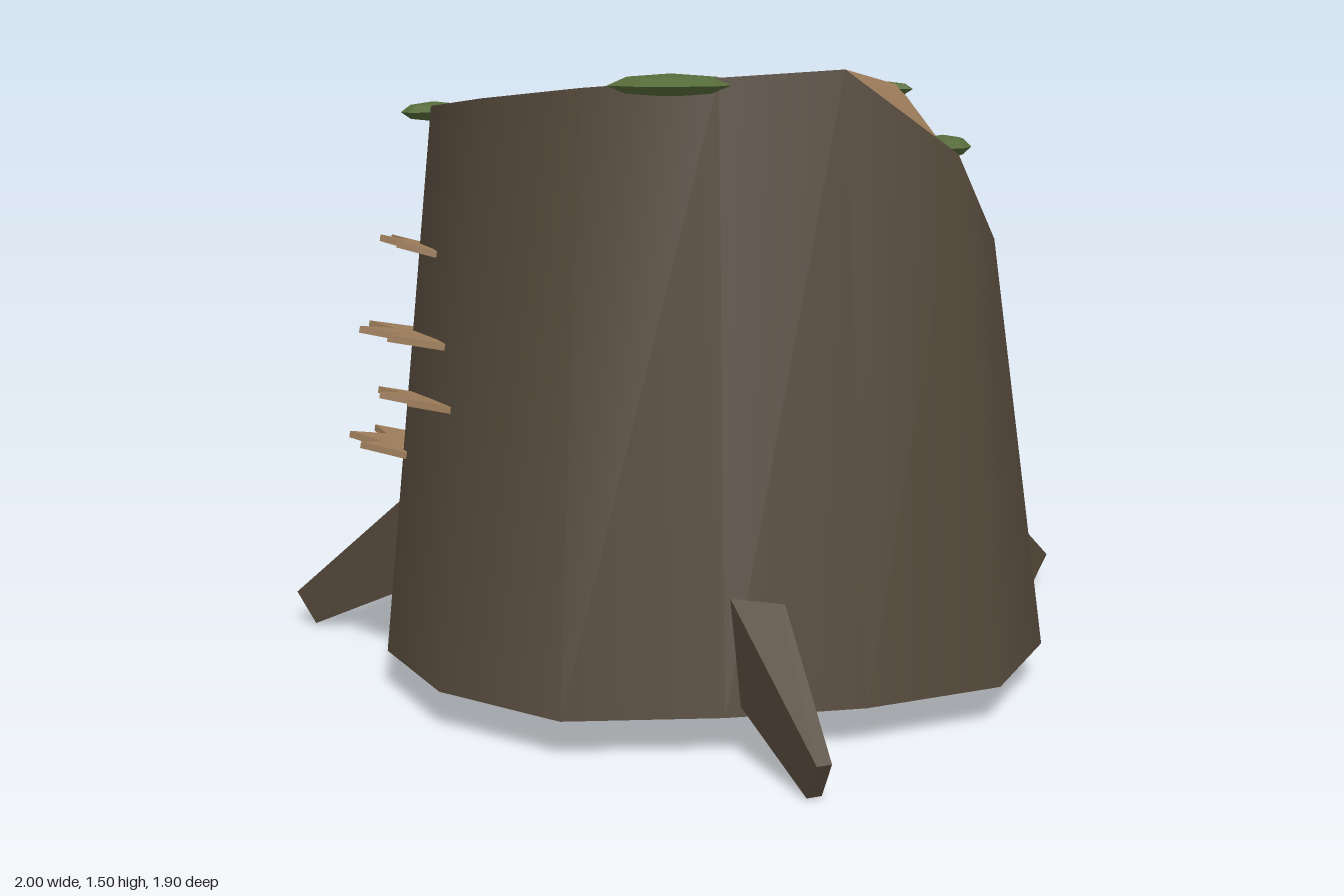
import * as THREE from 'three';

const bark = new THREE.MeshStandardMaterial({ color: 0x54483a, side: THREE.DoubleSide });
bark.name = 'bark';
const wood = new THREE.MeshStandardMaterial({ color: 0x9c7c5a, side: THREE.DoubleSide });
wood.name = 'cut wood';
const moss = new THREE.MeshStandardMaterial({ color: 0x566b3a, flatShading: true });
moss.name = 'moss';

// Ground outline [x, z], from the back round by +x
const BASE = [[-0.11, -0.915], [0.22, -0.77], [0.48, -0.58], [0.69, -0.33], [0.84, 0], [0.68, 0.33], [0.48, 0.58], [0.23, 0.81],
  [-0.11, 0.925], [-0.43, 0.79], [-0.69, 0.6], [-0.95, 0.35], [-1, 0], [-0.89, -0.33], [-0.63, -0.62], [-0.45, -0.83]];
// Upper rim [x, z, y]; y is given only where the chip cuts below the sloping top
const RIM = [[-0.11, -0.76], [0.17, -0.65], [0.39, -0.48], [0.56, -0.27], [0.675, 0], [0.54, 0.27, 1.27], [0.4, 0.52, 0.9], [0.18, 0.68, 1.09],
  [-0.11, 0.78, 1.31], [-0.38, 0.67], [-0.6, 0.5], [-0.8, 0.28], [-0.84, 0], [-0.78, -0.25], [-0.56, -0.5], [-0.38, -0.66]];

const N = BASE.length;
const bottom = BASE.map(([x, z]) => [x, 0.097, z]);
const top = RIM.map(([x, z, y]) => [x, y ?? 1.435 + 0.0985 * z, z]);

function surface(points, index) {
  const g = new THREE.BufferGeometry();
  g.setAttribute('position', new THREE.Float32BufferAttribute(points.flat(), 3));
  g.setIndex(index);
  g.computeVertexNormals();
  return g;
}

// Fan of triangles from the first point of a clockwise loop
function fan(loop) {
  const index = [];
  for (let i = 1; i < loop.length - 1; i++) index.push(0, i + 1, i);
  return surface(loop, index);
}

export function createModel() {
  const model = new THREE.Group();
  function add(name, geometry, material) {
    const mesh = new THREE.Mesh(geometry, material);
    mesh.name = name;
    model.add(mesh);
    return mesh;
  }

  // Hollow bark wall, open underneath
  const wall = [];
  for (let i = 0; i < N; i++) {
    const j = (i + 1) % N;
    wall.push(i, N + i, j, j, N + i, N + j);
  }
  add('barkWall', surface([...bottom, ...top], wall), bark);

  // Sloping cut, then the steeper chip broken out of the front
  const cutLoop = [9, 10, 11, 12, 13, 14, 15, 0, 1, 2, 3, 4, 5];
  add('cutTop', fan(cutLoop.map(i => top[i])), wood);
  add('chippedFace', fan([5, 6, 7, 8, 9].map(i => top[i])), wood);

  // Four-sided roots, narrowing to a blade at the tip
  const roots = [
    ['frontRoot', [-0.53, 0.34, 0.45], [-0.745, 0.05, 0.915]],
    ['leftRoot', [0.53, 0.34, 0.2], [0.96, 0.045, 0.305]],
    ['backRoot', [-0.49, 0.34, -0.51], [-0.695, 0.05, -0.92]],
  ];
  for (const [name, from, to] of roots) {
    const a = new THREE.Vector3(...from), b = new THREE.Vector3(...to);
    let g = new THREE.CylinderGeometry(0.07, 0.18, a.distanceTo(b), 4);
    g.rotateY(Math.PI / 4).rotateX(Math.PI / 2);
    const p = g.attributes.position;
    for (let i = 0; i < p.count; i++) p.setX(i, p.getX(i) * (p.getZ(i) > 0 ? 0.35 : 0.6));
    g = g.toNonIndexed();
    g.computeVertexNormals();
    const root = add(name, g, bark);
    root.position.copy(a).lerp(b, 0.5);
    root.lookAt(b);
  }

  // Thin jagged splinters standing out of the bark, tilted slightly upward
  const jag = new THREE.Shape([[-0.15, -0.04], [0.15, -0.04], [0.13, 0.09], [0.07, 0.03], [0.02, 0.13], [-0.05, 0.03], [-0.14, 0.07]]
    .map(p => new THREE.Vector2(...p)));
  const splinterGeo = new THREE.ExtrudeGeometry(jag, { depth: 0.016, bevelEnabled: false });
  splinterGeo.rotateX(Math.PI / 2 - 0.2);
  // position, heading, size
  const splinters = [
    [-0.82, 1.09, -0.26, -2.1, 0.7],
    [-0.86, 0.885, -0.24, -2.0, 1],
    [-0.9, 0.745, -0.17, -1.85, 0.8],
    [-0.8, 0.6, -0.39, -2.3, 0.85],
  ];
  for (const [x, y, z, heading, size] of splinters) {
    const s = add('splinter', splinterGeo, wood);
    s.position.set(x, y, z);
    s.rotation.y = heading;
    s.scale.set(size, 1, size);
  }

  // Flat moss clumps: position, half sizes, turn (the last two grow inside the hollow)
  const clumps = [
    [-0.65, 1.468, 0.405, 0.15, 0.025, 0.14, 0.2],
    [-0.52, 1.382, -0.56, 0.11, 0.025, 0.065, 0.3],
    [0.55, 1.28, 0.25, 0.14, 0.03, 0.075, 0.7],
    [0.637, 1.425, -0.01, 0.035, 0.02, 0.09, 0],
    [-0.6, 0.26, 0.27, 0.18, 0.05, 0.1, -0.78],
    [-0.45, 0.81, 0.42, 0.18, 0.025, 0.08, -0.78],
  ];
  const mossGeo = new THREE.SphereGeometry(1, 9, 4);
  for (const [x, y, z, sx, sy, sz, turn] of clumps) {
    const m = add('mossClump', mossGeo, moss);
    m.position.set(x, y, z);
    m.scale.set(sx, sy, sz);
    m.rotation.y = turn;
  }
  return model;
}
